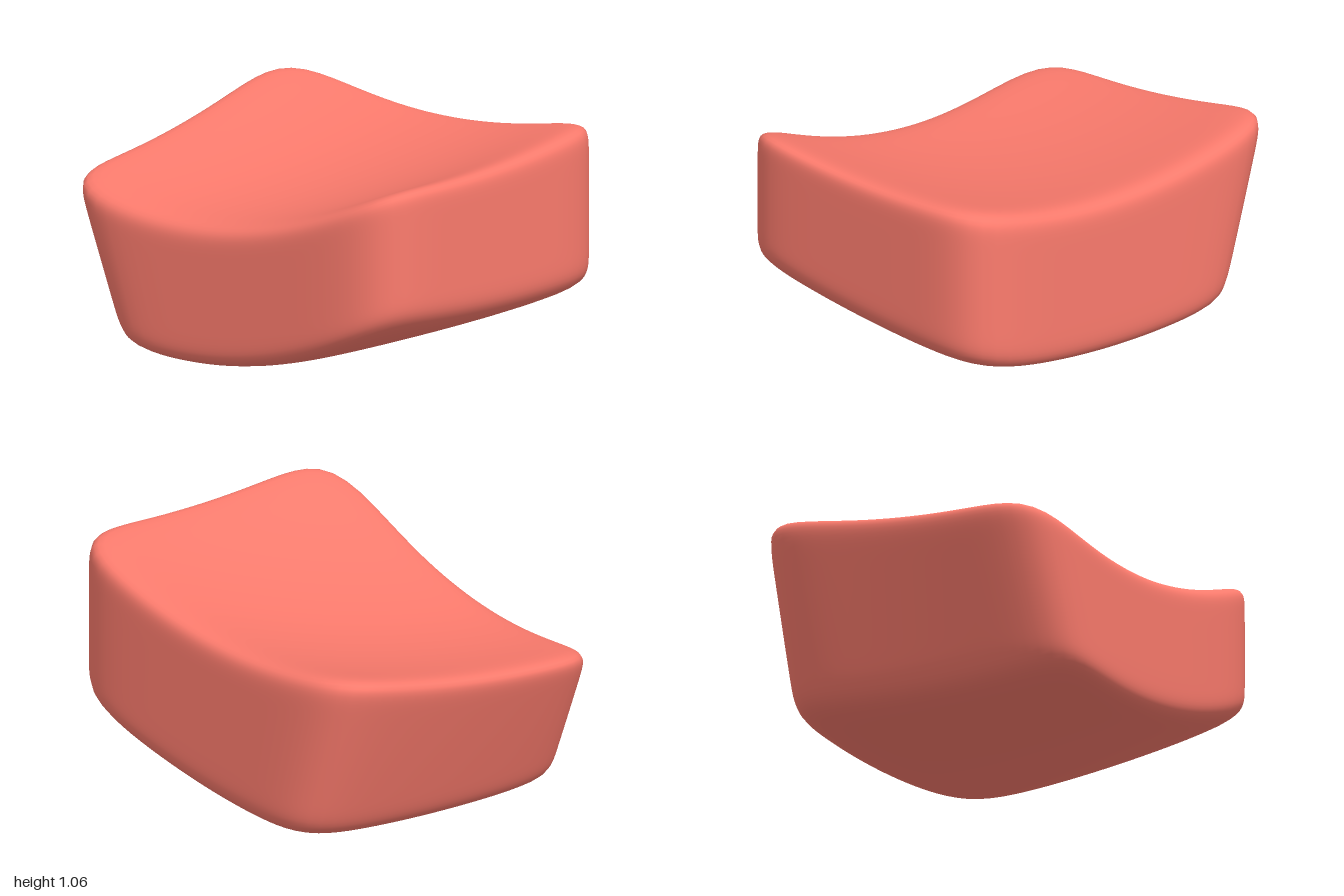
import * as THREE from 'three';
import { mergeVertices } from 'three/addons/utils/BufferGeometryUtils.js';

const { lerp } = THREE.MathUtils;

// Point on a unit rounded square (larger n gives tighter corners)
function roundedSquare(angle, n) {
  const c = Math.cos(angle), s = Math.sin(angle);
  const k = (Math.abs(c) ** n + Math.abs(s) ** n) ** (-1 / n);
  return [c * k, s * k];
}

// Sagging upper face, highest at the front and sinking towards the back of the -x side
const topHeight = (u, z) =>
  0.916 + 0.165 * (z + 0.15) ** 2 + 0.06 * (u * u - 0.6) + 0.005 * u
  - 0.25 * (1 - ((z + 1) / 2) ** 2) * (1 - u) / 2;

// Bulging lower face, slightly twisted from side to side
const bottomHeight = (u, z) => {
  const side = (u + 1) / 2;
  return lerp(0.02, 0.125, side) + lerp(0.23, 0.105, side) * (z + 0.4) ** 2 - 0.045 * (1 - u * u);
};

// How far the sloping back face is pulled forward at a given height
const backOffset = (u, y) => {
  const side = (u + 1) / 2;
  return lerp(0.44 * (0.71 - y), 0.03 + 0.33 * (0.9 - y), side);
};

function blockGeometry() {
  const rings = 100, segments = 112;
  const positions = [], indices = [];
  for (let i = 0; i <= rings; i++) {
    const [rho, level] = roundedSquare((i / rings - 0.5) * Math.PI, 11);
    const radius = i === 0 || i === rings ? 0 : rho;
    const t = (level + 1) / 2;
    for (let j = 0; j < segments; j++) {
      const [u, w] = roundedSquare((j / segments) * Math.PI * 2, 7).map((v) => v * radius);
      const backY = lerp(bottomHeight(u, -0.75), topHeight(u, -1), t);
      const z = w + backOffset(u, backY) * ((1 - w) / 2) ** 2;
      positions.push(0.785 * u, lerp(bottomHeight(u, z), topHeight(u, z), t), z);
      if (i < rings) {
        const p = i * segments + j, q = i * segments + ((j + 1) % segments);
        indices.push(p, p + segments, q, q, p + segments, q + segments);
      }
    }
  }
  let geometry = new THREE.BufferGeometry();
  geometry.setAttribute('position', new THREE.Float32BufferAttribute(positions, 3));
  geometry.setIndex(indices);
  geometry = mergeVertices(geometry, 1e-5);
  geometry.computeBoundingBox();
  geometry.translate(0, -geometry.boundingBox.min.y, 0);
  geometry.computeVertexNormals();
  return geometry;
}

export function createModel() {
  const group = new THREE.Group();
  group.name = 'curvedBlock';
  const block = new THREE.Mesh(blockGeometry(), new THREE.MeshStandardMaterial({ color: 0xfc7b6d }));
  block.name = 'roundedBody';
  group.add(block);
  return group;
}
